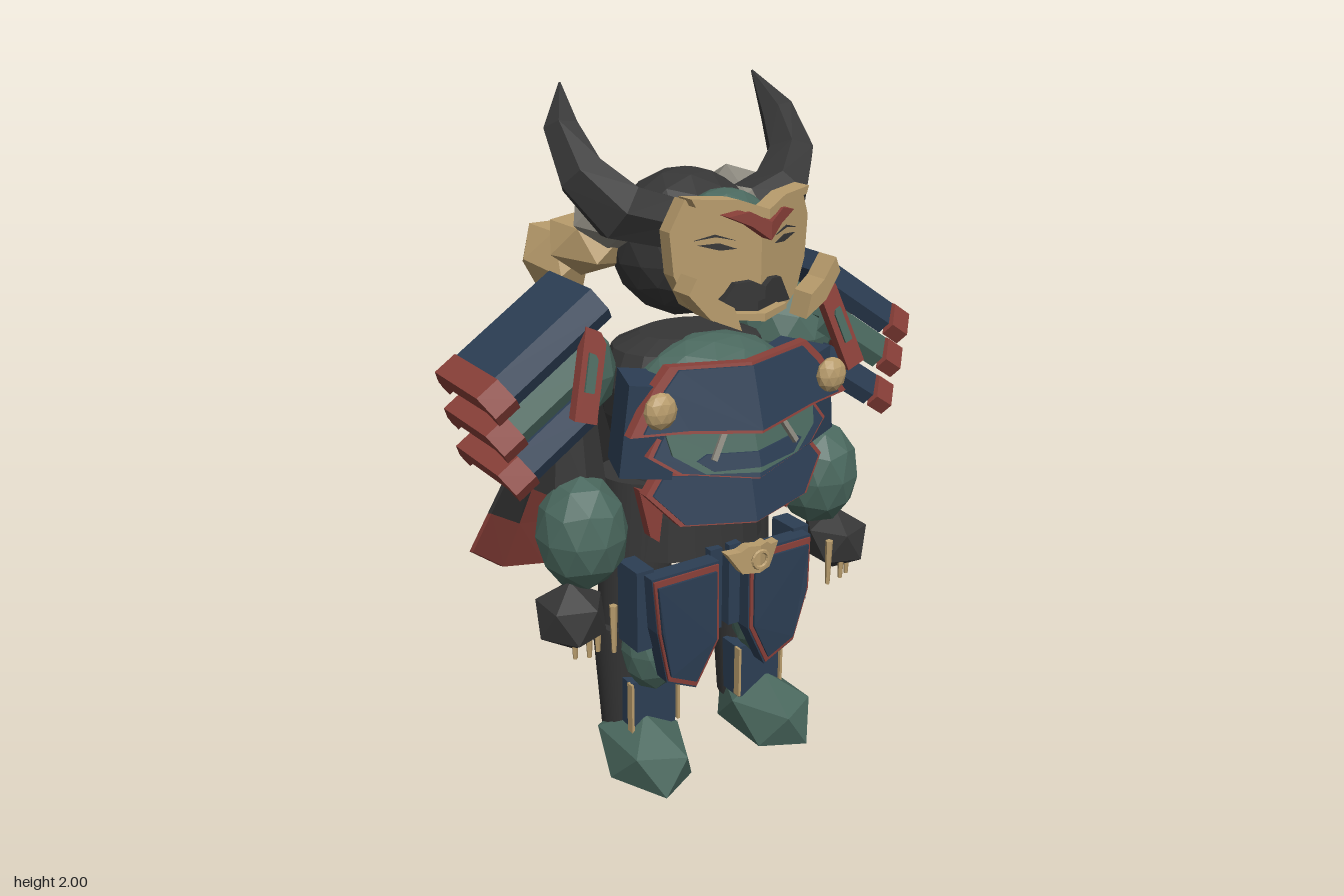
import * as THREE from 'three';
import { ConvexGeometry } from 'three/addons/geometries/ConvexGeometry.js';

const mat = (name, color) => {
  const m = new THREE.MeshStandardMaterial({ color });
  m.name = name;
  return m;
};

export function createModel() {
  const root = new THREE.Group();
  root.name = 'hornedSamurai';
  const dark = mat('charcoal', 0x363636), navy = mat('navy', 0x2c3e54), red = mat('lacquerRed', 0x8a4039);
  const green = mat('mutedGreen', 0x4a685e), gold = mat('paleGold', 0xb89c6c), gray = mat('warmGray', 0x8a877d);

  // Adds a mesh with faceted normals
  function add(name, geo, m, parent = root, faceted = true) {
    if (faceted) {
      if (geo.index) geo = geo.toNonIndexed();
      geo.computeVertexNormals();
    }
    const mesh = new THREE.Mesh(geo, m);
    mesh.name = name;
    parent.add(mesh);
    return mesh;
  }
  // Faceted lump, pole tilted from upright, filling a box of the given half sizes
  function lump(name, m, parent, pos, half, detail = 0, tilt = 0) {
    const g = new THREE.IcosahedronGeometry(1, detail);
    g.rotateZ(0.5536 + tilt);
    g.computeBoundingBox();
    const b = g.boundingBox.max;
    g.scale(half[0] / b.x, half[1] / b.y, half[2] / b.z);
    const o = add(name, g, m, parent);
    o.position.set(...pos);
    return o;
  }
  function box(name, m, parent, pos, size, rot = [0, 0, 0]) {
    const o = add(name, new THREE.BoxGeometry(...size), m, parent);
    o.position.set(...pos);
    o.rotation.set(...rot);
    return o;
  }
  // Plate cut from an outline; its front lies on z = bend(x, y)
  function plate(name, m, parent, pts, bend, thick) {
    const g = new THREE.ExtrudeGeometry(new THREE.Shape(pts.map(p => new THREE.Vector2(...p))),
      { depth: thick, bevelEnabled: false });
    const p = g.attributes.position;
    for (let i = 0; i < p.count; i++) p.setZ(i, p.getZ(i) - thick + bend(p.getX(i), p.getY(i)));
    return add(name, g, m, parent);
  }
  // Outline shrunk about its middle; centreX 0 keeps half plates joined
  function inset(pts, s, centreX) {
    const cy = pts.reduce((a, p) => a + p[1], 0) / pts.length;
    return pts.map(([x, y]) => [centreX + (x - centreX) * s, cy + (y - cy) * s]);
  }
  // Plate with a red rim around its face
  function rimmed(name, fill, parent, pts, bend, thick, s, centreX = 0) {
    plate(name + 'Rim', red, parent, pts, bend, thick);
    plate(name, fill, parent, inset(pts, s, centreX), (x, y) => bend(x, y) + 0.006, thick);
  }
  // Tapering tube through [x, y, z, radius] rings
  function taper(name, m, parent, rings, sides) {
    const path = new THREE.CatmullRomCurve3(rings.map(r => new THREE.Vector3(r[0], r[1], r[2])));
    const n = rings.length - 1;
    const g = new THREE.TubeGeometry(path, n, 1, sides, false);
    const p = g.attributes.position;
    const v = new THREE.Vector3(), c = new THREE.Vector3();
    for (let i = 0; i < p.count; i++) {
      const k = Math.floor(i / (sides + 1));
      c.copy(path.getPointAt(k / n));
      v.fromBufferAttribute(p, i).sub(c).multiplyScalar(rings[k][3]).add(c);
      p.setXYZ(i, v.x, v.y, v.z);
    }
    return add(name, g, m, parent);
  }

  // Head and torso core
  lump('head', dark, root, [0, 1.58, 0.02], [0.205, 0.2, 0.185], 2);
  lump('brow', green, root, [0, 1.6, 0.2], [0.155, 0.15, 0.11], 2);
  const torso = add('torso', new THREE.LatheGeometry([[0, 0.72], [0.24, 0.72], [0.23, 0.85], [0.21, 0.98],
    [0.25, 1.13], [0.26, 1.22], [0.22, 1.31], [0.14, 1.34], [0, 1.34]].map(p => new THREE.Vector2(...p)), 18), dark);
  torso.scale.z = 0.76;
  torso.position.z = 0.03;
  lump('chest', green, root, [0, 1.2, 0.15], [0.24, 0.155, 0.15], 2);
  lump('belly', green, root, [0, 1.06, 0.14], [0.21, 0.13, 0.17], 2);
  box('backSkirt', dark, root, [0, 0.88, -0.095], [0.36, 0.51, 0.125]);

  // Cape: joined panels, dark along the upper outer edges; columns are [topX, bottomX, bottomY, bottomZ]
  const cols = [[0, 0, 0.62, -0.445], [0.14, 0.25, 0.51, -0.42], [0.26, 0.4, 0.55, -0.39], [0.34, 0.52, 0.65, -0.34]];
  const capeAt = (k, t) => {
    const [xt, xb, yb, zb] = cols[k];
    const zt = -0.235 + 0.6 * xt * xt;
    return new THREE.Vector3(xt + (xb - xt) * t, 1.16 + (yb - 1.16) * t, zt + (zb - zt) * t);
  };

  for (const side of [1, -1]) {
    const half = new THREE.Group();
    half.name = side > 0 ? 'leftHalf' : 'rightHalf';
    half.scale.x = side;
    root.add(half);

    for (let k = 0; k < 3; k++) for (const [a, b] of [[0, 0.75], [0.75, 1]]) {
      const q = [capeAt(k, a), capeAt(k + 1, a), capeAt(k + 1, b), capeAt(k, b)];
      const back = q.map(v => v.clone().add(new THREE.Vector3(0, 0.008, 0.025)));
      add('capePanel', new ConvexGeometry([...q, ...back]), k === 2 && a === 0 ? dark : red, half);
    }

    // Horn and hair
    taper('horn', dark, half, [[0.13, 1.665, 0.12, 0.075], [0.24, 1.69, 0.11, 0.085], [0.33, 1.79, 0.05, 0.068],
      [0.34, 1.88, -0.02, 0.05], [0.302, 2, -0.1, 0.003]], 6);
    lump('hairRoot', gray, half, [0.2, 1.665, -0.025], [0.115, 0.1, 0.115], 0, 0.3);
    lump('hairMiddle', gold, half, [0.23, 1.585, -0.1], [0.115, 0.09, 0.12], 0, 0.2);
    lump('hairEnd', gold, half, [0.265, 1.525, -0.22], [0.1, 0.1, 0.112], 0, 0.5);

    // Face mask: recessed face, forward brow edge and jaw
    const face = d => x => 0.365 + d - 0.42 * x;
    plate('mask', gold, half, [[0, 1.7], [0.07, 1.73], [0.18, 1.75], [0.215, 1.67], [0.205, 1.56],
      [0.17, 1.48], [0.11, 1.44], [0.1, 1.5], [0.07, 1.53], [0, 1.53]], face(0), 0.045);
    plate('maskBrowEdge', gold, half, [[0, 1.7], [0.07, 1.725], [0.17, 1.735], [0.18, 1.755], [0.07, 1.75], [0, 1.725]],
      face(0.03), 0.06);
    plate('maskJaw', gold, half, [[0.1, 1.44], [0.18, 1.475], [0.235, 1.54], [0.215, 1.58], [0.17, 1.53], [0.12, 1.5]],
      x => 0.45 - 0.25 * x, 0.07);
    plate('maskTeeth', gold, half, [[0, 1.44], [0.1, 1.45], [0.1, 1.465], [0, 1.46]], face(0.02), 0.04);
    plate('maskMouth', dark, half, [[0, 1.46], [0.11, 1.465], [0.1, 1.53], [0, 1.54]], face(-0.01), 0.03);
    plate('moustache', dark, half, [[0, 1.5], [0.06, 1.475], [0.115, 1.47], [0.07, 1.54], [0.03, 1.545], [0, 1.53]],
      face(0.02), 0.03);
    plate('eyeSlit', dark, half, [[0.06, 1.625], [0.1, 1.622], [0.15, 1.636], [0.1, 1.64]], face(0.004), 0.009);
    plate('eyebrow', dark, half, [[0.06, 1.645], [0.11, 1.656], [0.16, 1.648], [0.11, 1.662]], face(0.004), 0.009);
    plate('browCrest', red, half, [[0, 1.65], [0.045, 1.685], [0.1, 1.71], [0.05, 1.722], [0, 1.695]], face(0.04), 0.04);

    // Chest armour: three overlapping plates leaning out at the bottom
    const lean = (y0, z0, k) => (x, y) => z0 - 0.22 * x + (y0 - y) * k;
    box('flankBlock', navy, half, [0.245, 1.16, 0.2], [0.14, 0.25, 0.16], [0, 0.35, 0.12]);
    rimmed('upperChestPlate', navy, half, [[0, 1.32], [0.22, 1.33], [0.27, 1.28], [0.35, 1.17], [0.22, 1.165], [0, 1.14]],
      lean(1.33, 0.33, 0.3), 0.03, 0.9);
    rimmed('middleChestPlate', navy, half, [[0, 1.16], [0.24, 1.17], [0.29, 1.1], [0.22, 1.05], [0, 1.01]],
      lean(1.17, 0.33, 0.3), 0.03, 0.95);
    plate('middlePanel', green, half, [[0, 1.14], [0.24, 1.16], [0.23, 1.1], [0.15, 1.045], [0, 1.03]],
      lean(1.17, 0.342, 0.3), 0.009);
    plate('middlePanelInlay', navy, half, [[0, 1.085], [0.14, 1.095], [0.17, 1.08], [0.13, 1.05], [0, 1.045]],
      lean(1.17, 0.347, 0.3), 0.009);
    rimmed('lowerChestPlate', navy, half, [[0, 1.01], [0.25, 1.04], [0.29, 0.99], [0.21, 0.9], [0, 0.88]],
      lean(1.03, 0.33, 0.25), 0.03, 0.94);
    plate('waistSash', red, half, [[0.2, 0.95], [0.27, 0.98], [0.24, 0.84], [0.215, 0.82]], lean(1, 0.27, 0), 0.03);
    box('chestCord', gray, half, [0.105, 1.13, 0.35], [0.015, 0.11, 0.012], [-0.3, 0.2, 0.55]);
    box('chestCordEnd', gray, half, [0.11, 1.175, 0.345], [0.06, 0.014, 0.012], [0, 0.2, 0.4]);
    lump('chestBoss', gold, half, [0.275, 1.235, 0.325], [0.045, 0.05, 0.03], 1);

    // Shoulder: ball, strap plate and three arched guards
    lump('shoulderBall', green, half, [0.37, 1.27, -0.02], [0.145, 0.15, 0.155], 1);
    rimmed('shoulderStrap', green, half, [[0.36, 1.42], [0.4, 1.44], [0.47, 1.22], [0.41, 1.2], [0.35, 1.39]],
      (x, y) => 0.24 - 0.25 * (y - 1.2), 0.03, 0.42, 0.405);
    const arch = s => new THREE.Shape([[-0.19, -0.065], [-0.16, -0.005], [0.07, 0], [0.125, -0.06], [0.11, -0.1],
      [0.055, -0.06], [-0.15, -0.06], [-0.17, -0.1]].map(([x, y]) => new THREE.Vector2((x + 0.03) * s - 0.03, y)));
    [[0.37, 1.53, 0.4, navy], [0.41, 1.39, 0.33, green], [0.42, 1.255, 0.285, navy]].forEach(([x, y, len, m], i) => {
      const guard = new THREE.Group();
      guard.name = 'shoulderGuard' + (i + 1);
      guard.position.set(x, y, 0);
      guard.rotation.z = -0.59;
      half.add(guard);
      [[0, len - 0.07, m, 0.93, 'guardPlate'], [len - 0.07, 0.07, red, 1.04, 'guardRim']].forEach(([start, l, c, s, n]) => {
        const g = new THREE.ExtrudeGeometry(arch(s), { depth: l, bevelEnabled: false });
        g.rotateY(Math.PI / 2);
        g.translate(start, 0, 0);
        add(n, g, c, guard);
      });
      box('guardBackRim', red, guard, [len / 2, -0.065, -0.113], [len, 0.05, 0.024], [0.5, 0, 0]);
    });

    // Arm, hand and claws
    const upper = add('upperArm', new THREE.CylinderGeometry(0.075, 0.1, 0.22, 7), dark, half);
    upper.position.set(0.385, 1.075, 0.04);
    lump('forearm', green, half, [0.398, 0.86, 0.125], [0.12, 0.162, 0.128], 1);
    lump('hand', dark, half, [0.455, 0.64, 0.155], [0.093, 0.1, 0.095]);
    [[0.4, 0.2], [0.435, 0.215], [0.47, 0.2], [0.37, 0.235]].forEach(([x, z], i) => {
      const c = add('claw', new THREE.CylinderGeometry(0.012, 0.007, i === 3 ? 0.14 : 0.1, 5), gold, half);
      c.position.set(x, i === 3 ? 0.61 : 0.585, z);
    });

    // Leg and foot
    const thigh = add('thigh', new THREE.CylinderGeometry(0.115, 0.1, 0.46, 18), dark, half, false);
    thigh.position.set(0.17, 0.72, 0.025);
    thigh.rotation.z = 0.06;
    const shin = add('shin', new THREE.CylinderGeometry(0.1, 0.075, 0.37, 18), dark, half, false);
    shin.position.set(0.208, 0.325, 0.03);
    lump('knee', green, half, [0.19, 0.46, 0.14], [0.085, 0.135, 0.09], 1);
    const shinBend = x => 0.165 - 0.25 * Math.abs(x - 0.19);
    plate('shinGuard', navy, half, [[0.115, 0.19], [0.26, 0.19], [0.265, 0.36], [0.11, 0.36]], shinBend, 0.08);
    for (const x of [0.11, 0.265]) box('shinTrim', gold, half, [x, 0.28, 0.145], [0.008, 0.16, 0.025]);
    lump('foot', green, half, [0.215, 0.122, 0.135], [0.115, 0.122, 0.175]);

    // Hip armour: navy slab with a red line near its edge
    const thighPts = [[0.05, 0.74], [0.27, 0.74], [0.26, 0.58], [0.22, 0.41], [0.12, 0.36], [0.05, 0.5]];
    const hang = d => (x, y) => 0.28 + d - 0.08 * Math.abs(y - 0.6);
    plate('thighGuardBase', navy, half, thighPts, hang(0), 0.05);
    rimmed('thighGuard', navy, half, inset(thighPts, 0.96, 0.16), hang(0.005), 0.009, 0.9, 0.16);
    box('hipBox', navy, half, [0.265, 0.63, 0.18], [0.055, 0.24, 0.1]);
    box('innerTasset', navy, half, [0.032, 0.63, 0.2], [0.04, 0.25, 0.06]);

    // Belt buckle half
    plate('buckle', gold, half, [[0, 0.74], [0.045, 0.74], [0.085, 0.8], [0.05, 0.805], [0.03, 0.82], [0, 0.82]],
      x => 0.39 - 0.4 * x, 0.03);
  }

  // Buckle ring and cape crescent
  add('buckleRing', new THREE.TorusGeometry(0.024, 0.006, 6, 14), gold).position.set(0, 0.78, 0.39);
  const crescent = add('capeCrescent', new THREE.TorusGeometry(0.085, 0.009, 5, 20, 4.9), gold);
  crescent.position.set(0, 0.99, -0.376);
  crescent.rotation.z = Math.PI + 0.95;
  return root;
}
